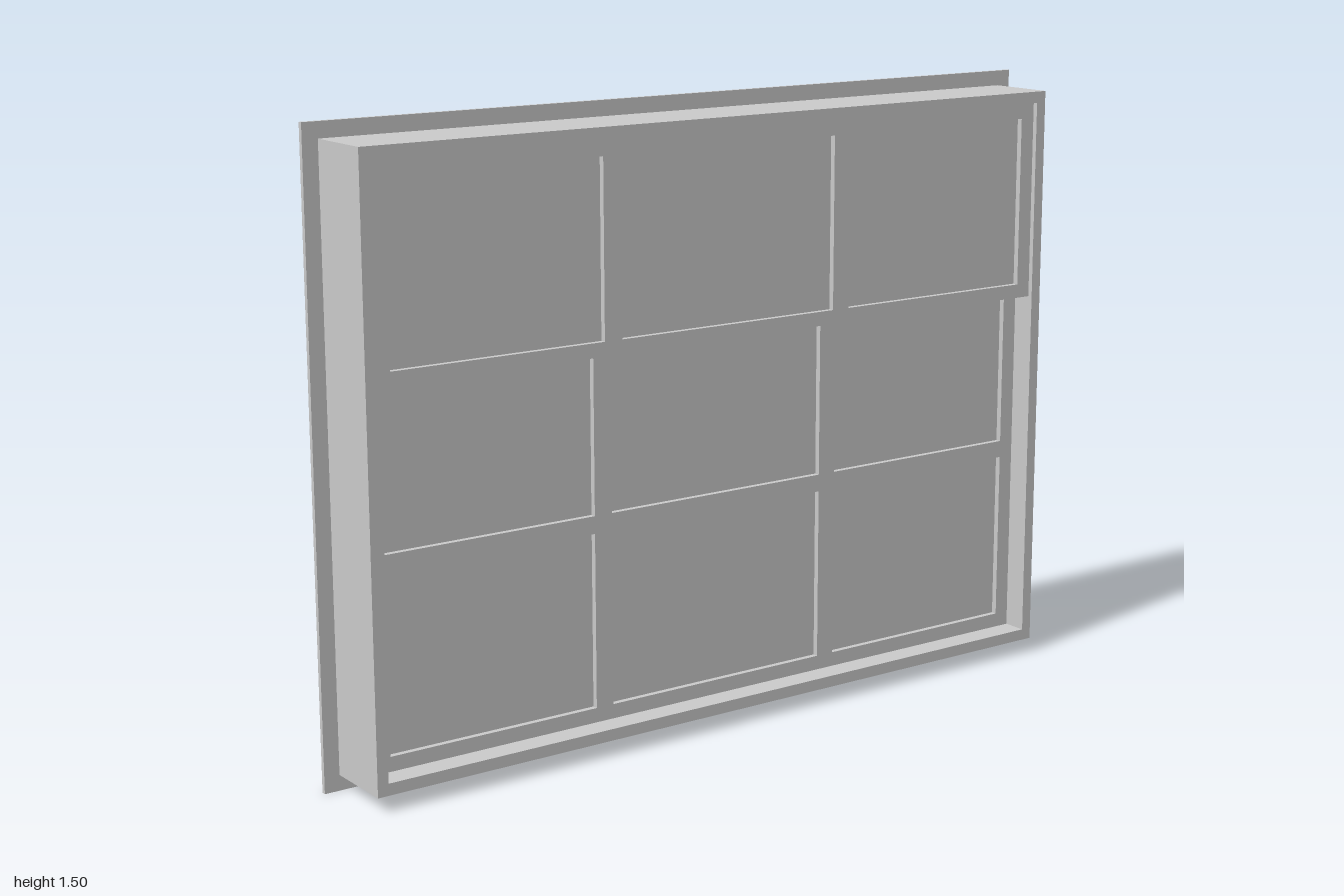
import * as THREE from 'three';

const material = new THREE.MeshStandardMaterial({ color: 0xcccccc });

function addMesh(parent, name, geometry) {
  const mesh = new THREE.Mesh(geometry, material);
  mesh.name = name;
  parent.add(mesh);
  return mesh;
}

function trace(path, x0, x1, y0, y1) {
  path.moveTo(x0, y0);
  path.lineTo(x1, y0);
  path.lineTo(x1, y1);
  path.lineTo(x0, y1);
  path.closePath();
  return path;
}

// Flat panel [x0, x1, y0, y1] with rectangular openings, from z0 to z1
function panel(outer, openings, z0, z1) {
  const shape = trace(new THREE.Shape(), ...outer);
  for (const o of openings) shape.holes.push(trace(new THREE.Path(), ...o));
  const geometry = new THREE.ExtrudeGeometry(shape, { depth: z1 - z0, bevelEnabled: false });
  return geometry.translate(0, 0, z0);
}

// Rectangular ring with mitred corners; profile points are [inset, z]
function mitredRing(halfW, halfH, profile) {
  const corners = [[1, 1], [-1, 1], [-1, -1], [1, -1]];
  const at = ([d, z], [sx, sy]) => [sx * (halfW - d), sy * (halfH - d), z];
  const positions = [];
  profile.forEach((p, i) => {
    const q = profile[(i + 1) % profile.length];
    corners.forEach((c, j) => {
      const e = corners[(j + 1) % 4];
      const [a, b, f, g] = [at(p, c), at(q, c), at(q, e), at(p, e)];
      positions.push(...a, ...b, ...f, ...a, ...f, ...g);
    });
  });
  const geometry = new THREE.BufferGeometry();
  geometry.setAttribute('position', new THREE.Float32BufferAttribute(positions, 3));
  geometry.computeVertexNormals();
  return geometry;
}

// Sash: bars step narrower towards the back, with one sheet of glass
function makeSash(name, y0, y1, rows, front) {
  const sash = new THREE.Group();
  sash.name = name;
  const columns = [[-0.896, -0.35], [-0.303, 0.303], [0.35, 0.896]];
  const half = 0.935;
  const layers = [
    { part: 'sashBars', from: 0, to: 0.032, grow: 0 },
    { part: 'barMoulding', from: 0.032, to: 0.040, grow: 0.006 },
    { part: 'barRidge', from: 0.040, to: 0.048, grow: 0.013 },
  ];
  for (const { part, from, to, grow } of layers) {
    const openings = [];
    for (const [b, t] of rows)
      for (const [l, r] of columns) openings.push([l - grow, r + grow, b - grow, t + grow]);
    addMesh(sash, part, panel([-half, half, y0, y1], openings, front - to, front - from));
  }
  const glass = addMesh(sash, 'glass', new THREE.BoxGeometry(2 * half - 0.04, y1 - y0 - 0.04, 0.016));
  glass.position.set(0, (y0 + y1) / 2, front - 0.022);
  return sash;
}

export function createModel() {
  const model = new THREE.Group();
  model.name = 'sashWindow';

  // Deep box frame lining the opening
  addMesh(model, 'frame', panel([-0.962, 0.962, 0.037, 1.458], [[-0.935, 0.935, 0.065, 1.43]], -0.08, 0.098));

  // Moulded casing around the back: rounded edge, groove, inner bead
  const profile = [
    [0, -0.078], [0, -0.088], [0.002, -0.093], [0.006, -0.0965], [0.012, -0.098],
    [0.026, -0.098], [0.030, -0.094], [0.032, -0.088], [0.044, -0.088],
    [0.046, -0.094], [0.050, -0.097], [0.060, -0.097], [0.064, -0.093], [0.064, -0.078],
  ];
  const casing = addMesh(model, 'casing', mitredRing(1, 0.7475, profile));
  casing.position.y = 0.7475;

  // Upper sash sits in front, lower sash slides behind it
  model.add(makeSash('upperSash', 0.942, 1.43, [[0.976, 1.392]], 0.086));
  model.add(makeSash('lowerSash', 0.065, 1.016, [[0.10, 0.52], [0.562, 0.982]], 0.038));

  return model;
}
